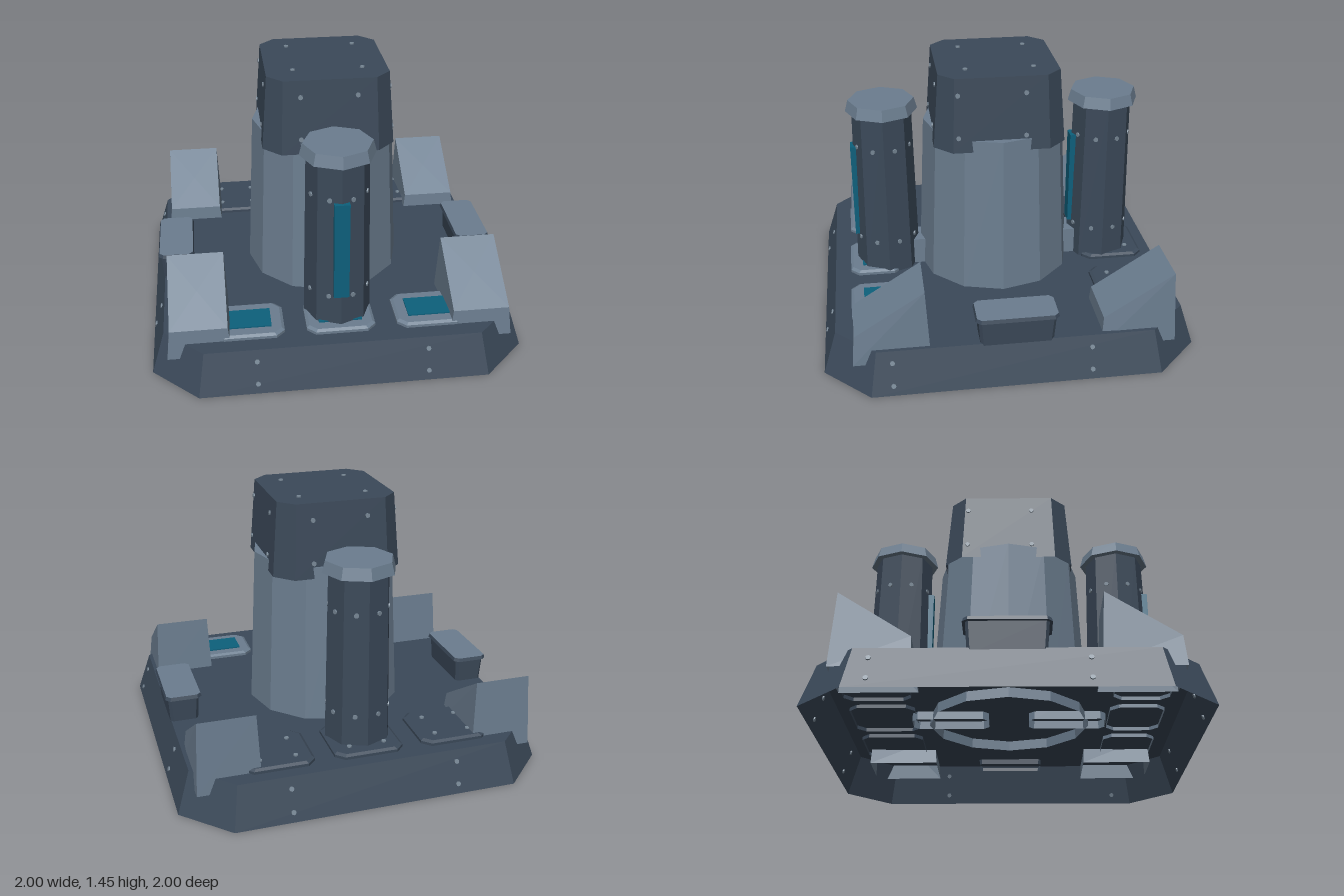
import * as THREE from 'three';

const mat = (name, color) => {
  const m = new THREE.MeshStandardMaterial({ color, flatShading: true, side: THREE.DoubleSide });
  m.name = name;
  return m;
};

// Ring of a rectangle with cut corners, at height y
function chamferRing(hx, hz, cut, y) {
  return [
    [hx, -hz + cut], [hx, hz - cut], [hx - cut, hz], [-hx + cut, hz],
    [-hx, hz - cut], [-hx, -hz + cut], [-hx + cut, -hz], [hx - cut, -hz],
  ].map(([x, z]) => new THREE.Vector3(x, y, z));
}

// Regular polygon ring with a corner on each axis
function polyRing(r, sides, y) {
  return Array.from({ length: sides }, (_, i) => {
    const a = (i / sides) * Math.PI * 2;
    return new THREE.Vector3(Math.cos(a) * r, y, Math.sin(a) * r);
  });
}

// Open-bottomed shell through rings; group 0 = sides, group 1 = top
function loft(rings) {
  const v = [];
  const tri = (...p) => p.forEach((q) => v.push(q.x, q.y, q.z));
  const n = rings[0].length;
  for (let k = 0; k < rings.length - 1; k++) {
    const b = rings[k], t = rings[k + 1];
    for (let i = 0; i < n; i++) {
      const j = (i + 1) % n;
      tri(b[i], t[i], b[j]);
      tri(t[i], t[j], b[j]);
    }
  }
  const sideCount = v.length / 3;
  const top = rings[rings.length - 1];
  const c = top.reduce((s, p) => s.add(p), new THREE.Vector3()).divideScalar(n);
  for (let i = 0; i < n; i++) tri(c, top[(i + 1) % n], top[i]);
  const g = new THREE.BufferGeometry();
  g.setAttribute('position', new THREE.Float32BufferAttribute(v, 3));
  g.addGroup(0, sideCount, 0);
  g.addGroup(sideCount, v.length / 3 - sideCount, 1);
  g.computeVertexNormals();
  return g;
}

export function createModel() {
  const root = new THREE.Group();
  root.name = 'outpostBuilding';
  const dark = mat('darkSteel', 0x3b4959);
  const light = mat('lightSteel', 0x6b7d8f);
  const teal = mat('tealPanel', 0x0d607c);
  const stud = mat('rivetGrey', 0x768694);

  const add = (parent, name, geometry, side, top = side, x = 0, y = 0, z = 0) => {
    const m = new THREE.Mesh(geometry, side === top ? side : [side, top]);
    m.name = name;
    m.position.set(x, y, z);
    parent.add(m);
    return m;
  };

  // Small round studs, aligned to a surface normal
  const studGeo = new THREE.CylinderGeometry(0.013, 0.013, 0.014, 8);
  const up = new THREE.Vector3(0, 1, 0);
  const rivet = (parent, pos, normal) => {
    const m = add(parent, 'rivet', studGeo, stud, stud, ...pos);
    m.quaternion.setFromUnitVectors(up, new THREE.Vector3(...normal).normalize());
  };
  // Studs on a leaning wall, repeated on all four sides
  const wallRivets = (parent, half, lean, ys, frontAt, sideAt) => {
    for (const y of ys) {
      const d = half(y);
      for (const s of [1, -1]) {
        for (const a of frontAt) rivet(parent, [a * s, y, d * s], [0, lean, s]);
        for (const a of sideAt) rivet(parent, [d * s, y, a * s], [s, lean, 0]);
      }
    }
  };

  // Hollow base platform
  add(root, 'basePlatform', loft([chamferRing(1, 1, 0.24, 0), chamferRing(0.93, 0.93, 0.205, 0.225)]), dark);
  wallRivets(root, (y) => 1 - 0.311 * y, 0.311, [0.05, 0.165], [-0.455, 0.44], [-0.39, 0.645]);

  // Central tower and its top block
  add(root, 'centralTower', loft([polyRing(0.437, 12, 0.17), polyRing(0.393, 12, 1.1)]), light);
  add(root, 'towerTopBlock', loft([chamferRing(0.355, 0.355, 0.095, 1.037), chamferRing(0.325, 0.325, 0.08, 1.442)]), dark);
  wallRivets(root, (y) => 0.355 - 0.074 * (y - 1.037), 0.074, [1.12, 1.352], [-0.155, 0.145], [-0.13, 0.23]);
  for (const x of [-0.18, 0.19]) for (const z of [-0.19, 0.175]) rivet(root, [x, 1.442, z], [0, 1, 0]);

  // Side columns in front of and behind the tower
  const columnGeo = loft([polyRing(0.18, 8, 0.225), polyRing(0.163, 8, 1.18)]);
  const capGeo = loft([polyRing(0.165, 8, 1.165), polyRing(0.197, 8, 1.167), polyRing(0.18, 8, 1.23)]);
  const stripGeo = new THREE.BoxGeometry(0.08, 0.545, 0.035);
  const linkGeo = loft([chamferRing(0.08, 0.21, 0.03, 0.18), chamferRing(0.075, 0.205, 0.03, 0.375)]);
  for (const z of [0.62, -0.62]) {
    const col = new THREE.Group();
    col.name = z > 0 ? 'frontColumn' : 'backColumn';
    col.position.z = z;
    root.add(col);
    add(col, 'columnShaft', columnGeo, dark);
    add(col, 'columnCap', capGeo, light);
    add(col, 'columnLightStrip', stripGeo, teal, teal, 0, 0.692, 0.165);
    for (let i = 0; i < 8; i++) {
      const a = ((i + 0.5) / 8) * Math.PI * 2;
      for (const y of [0.415, 0.975]) {
        const r = (0.18 - 0.0178 * (y - 0.225)) * Math.cos(Math.PI / 8);
        rivet(col, [Math.cos(a) * r, y, Math.sin(a) * r], [Math.cos(a), 0, Math.sin(a)]);
      }
    }
    add(root, 'towerLink', linkGeo, light, light, 0, 0, Math.sign(z) * 0.32);
  }

  // Deck pads: light with screens at the front, dark with studs at the back
  const padGeo = (hx, hz) => loft([
    chamferRing(hx, hz, 0.045, 0.205),
    chamferRing(hx, hz, 0.045, 0.24),
    chamferRing(hx - 0.015, hz - 0.015, 0.04, 0.25),
  ]);
  const frontPad = padGeo(0.182, 0.147);
  const backPad = padGeo(0.187, 0.177);
  const screenGeo = new THREE.BoxGeometry(0.23, 0.008, 0.155);
  for (const x of [-0.48, 0, 0.48]) {
    add(root, 'frontPad', frontPad, light, light, x, 0, 0.695);
    add(root, 'padScreen', screenGeo, teal, teal, x, 0.253, 0.695);
    add(root, 'backPad', backPad, dark, dark, x, 0, -0.685);
    for (const dx of [-0.095, 0.095]) {
      for (const dz of [-0.095, 0.085]) rivet(root, [x + dx, 0.25, -0.685 + dz], [0, 1, 0]);
    }
  }

  // Sloped corner blocks, all sloping down towards the front
  const corners = (hx, zf, yf, zb, yb) => [
    [hx, yb, zb], [hx, yf, zf], [-hx, yf, zf], [-hx, yb, zb],
  ].map((p) => new THREE.Vector3(...p));
  const wedgeGeo = loft([
    corners(0.168, 0.2, 0.14, -0.2, 0.14),
    corners(0.15, 0.187, 0.302, -0.178, 0.537),
  ]);
  for (const x of [-0.745, 0.745]) {
    for (const z of [-0.645, 0.645]) add(root, 'cornerWedge', wedgeGeo, light, light, x, 0, z);
  }

  // Side consoles with overhanging lids
  const consoleGeo = loft([chamferRing(0.075, 0.19, 0.015, 0.195), chamferRing(0.085, 0.202, 0.015, 0.365)]);
  const lidGeo = loft([
    chamferRing(0.08, 0.195, 0.02, 0.358),
    chamferRing(0.1, 0.216, 0.025, 0.36),
    chamferRing(0.094, 0.21, 0.022, 0.38),
  ]);
  for (const x of [-0.857, 0.857]) {
    add(root, 'sideConsole', consoleGeo, dark, dark, x);
    add(root, 'consoleLid', lidGeo, dark, light, x);
  }

  return root;
}
